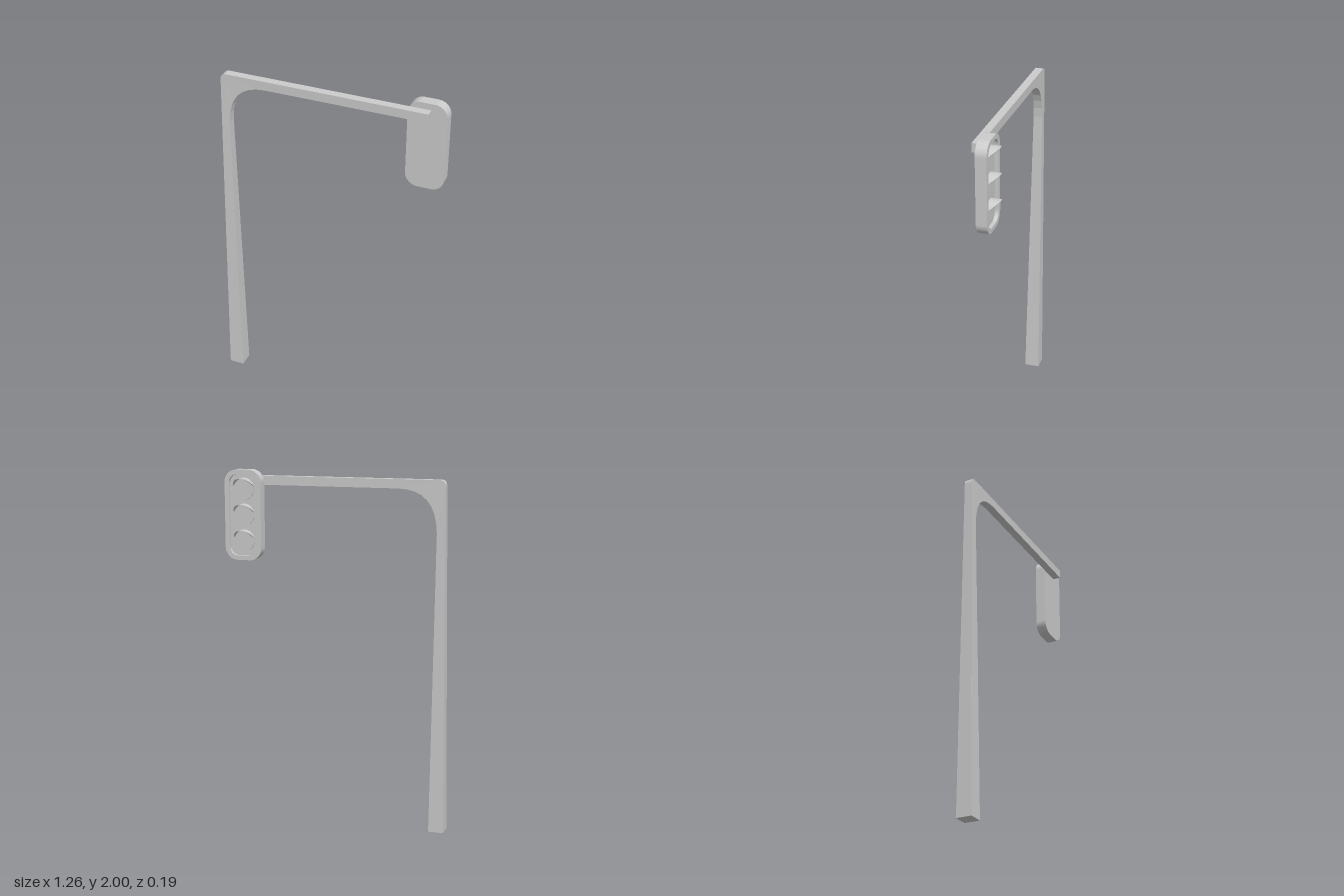
import * as THREE from 'three';

const material = new THREE.MeshStandardMaterial({ color: 0xcccccc, flatShading: true });
const smooth = new THREE.MeshStandardMaterial({ color: 0xcccccc, side: THREE.DoubleSide });

function add(group, name, geometry, mat = material) {
  const mesh = new THREE.Mesh(geometry, mat);
  mesh.name = name;
  group.add(mesh);
  return mesh;
}

// Rounded rectangle centred on the origin
function roundedRect(Type, w, h, r) {
  const s = new Type(), x = w / 2 - r, y = h / 2 - r;
  s.absarc(x, y, r, 0, Math.PI / 2);
  s.absarc(-x, y, r, Math.PI / 2, Math.PI);
  s.absarc(-x, -y, r, Math.PI, Math.PI * 1.5);
  s.absarc(x, -y, r, Math.PI * 1.5, Math.PI * 2);
  s.closePath();
  return s;
}

// Tapered post, curved bracket and arm as one bent profile
function poleGeometry() {
  const s = new THREE.Shape();
  s.moveTo(-0.63, 0);
  s.lineTo(-0.545, 0);
  s.lineTo(-0.565, 1.68);
  s.quadraticCurveTo(-0.56, 1.915, -0.35, 1.915);
  s.lineTo(0.54, 1.915);
  s.lineTo(0.54, 1.965);
  s.lineTo(-0.575, 1.965);
  s.quadraticCurveTo(-0.608, 1.965, -0.608, 1.925);
  s.closePath();
  const g = new THREE.ExtrudeGeometry(s, { depth: 1, bevelEnabled: false, curveSegments: 8 });
  // The flat back stays upright while the front leans in towards the top
  const p = g.attributes.position;
  for (let i = 0; i < p.count; i++) {
    const front = 0.09 - 0.041 * Math.min(p.getY(i) / 1.915, 1);
    p.setZ(i, p.getZ(i) > 0.5 ? front : 0.004);
  }
  g.computeVertexNormals();
  return g;
}

// Half hood whose front edge is cut on a slant
function visorGeometry(radius, baseZ, tipZ) {
  const rows = 24, pos = [], index = [];
  const low = 0.22;
  for (let i = 0; i <= rows; i++) {
    const a = low + (Math.PI - 2 * low) * i / rows;
    const t = (Math.sin(a) - Math.sin(low)) / (1 - Math.sin(low));
    const x = Math.cos(a), y = Math.sin(a), z = baseZ + (tipZ - baseZ) * t;
    for (const [r, d] of [[radius, baseZ], [radius, z], [radius - 0.004, z], [radius - 0.004, baseZ]]) {
      pos.push(x * r, y * r, d);
    }
  }
  for (let i = 0; i < rows; i++) {
    for (let k = 0; k < 3; k++) {
      const a = i * 4 + k, b = a + 4;
      index.push(a, a + 1, b, b, a + 1, b + 1);
    }
  }
  const g = new THREE.BufferGeometry();
  g.setAttribute('position', new THREE.Float32BufferAttribute(pos, 3));
  g.setIndex(index);
  const flat = g.toNonIndexed();
  flat.computeVertexNormals();
  return flat;
}

export function createModel() {
  const group = new THREE.Group();
  add(group, 'poleAndArm', poleGeometry());

  const head = new THREE.Group();
  head.name = 'signalHead';
  head.position.set(0.521, 1.75, 0);
  group.add(head);

  // Housing rim with an open recess facing backwards
  const rim = roundedRect(THREE.Shape, 0.212, 0.5, 0.07);
  rim.holes.push(roundedRect(THREE.Path, 0.162, 0.45, 0.05));
  add(head, 'housingRim', new THREE.ExtrudeGeometry(rim, { depth: 0.02, bevelEnabled: false, curveSegments: 8 }))
    .position.z = -0.056;

  // Solid body behind the recess
  add(head, 'housingBody', new THREE.ExtrudeGeometry(roundedRect(THREE.Shape, 0.212, 0.5, 0.07),
    { depth: 0.04, bevelEnabled: false, curveSegments: 8 })).position.z = -0.036;

  // Three lenses, each under a hood
  for (const y of [0.143, 0, -0.143]) {
    const lens = add(head, 'lens', new THREE.CylinderGeometry(0.06, 0.06, 0.008, 32), smooth);
    lens.rotation.x = -Math.PI / 2;
    lens.position.set(0, y, -0.038);
    add(head, 'visor', visorGeometry(0.062, -0.036, -0.096), smooth).position.y = y;
  }
  return group;
}
